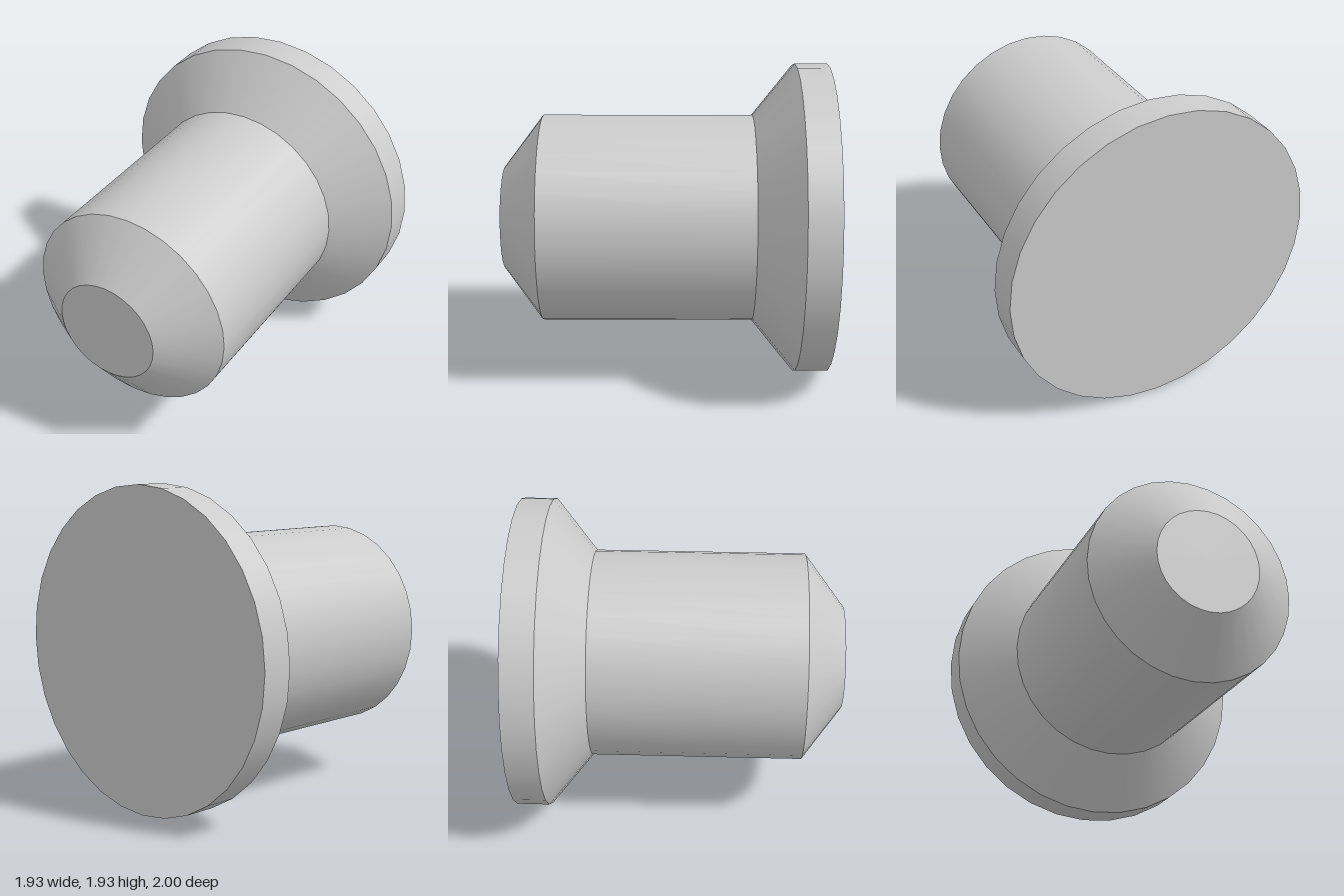
import * as THREE from 'three';

const SIDES = 32;
const RIM = 0.963, SHANK = 0.645, TIP = 0.321;

export function createModel() {
  const model = new THREE.Group();
  model.name = 'rivet';
  const material = new THREE.MeshStandardMaterial({ color: 0xcccccc });

  const add = (name, geometry) => {
    const mesh = new THREE.Mesh(geometry, material);
    mesh.name = name;
    mesh.position.y = RIM;
    model.add(mesh);
  };

  // Open band around the z axis, from zBack to zFront
  const band = (name, zBack, rBack, zFront, rFront) => {
    const geometry = new THREE.CylinderGeometry(rFront, rBack, zFront - zBack, SIDES, 1, true);
    geometry.rotateX(Math.PI / 2).translate(0, 0, (zBack + zFront) / 2);
    add(name, geometry);
  };

  // Head, tapering into the shank, then the chamfered tip
  band('headRim', -1, RIM, -0.8, RIM);
  band('headTaper', -0.8, RIM, -0.543, SHANK);
  band('shank', -0.543, SHANK, 0.756, SHANK);
  band('tipChamfer', 0.756, SHANK, 1, TIP);

  // Flat ends
  add('tipFace', new THREE.CircleGeometry(TIP, SIDES).translate(0, 0, 1));
  add('headFace', new THREE.CircleGeometry(RIM, SIDES).rotateY(Math.PI).translate(0, 0, -1));

  return model;
}
